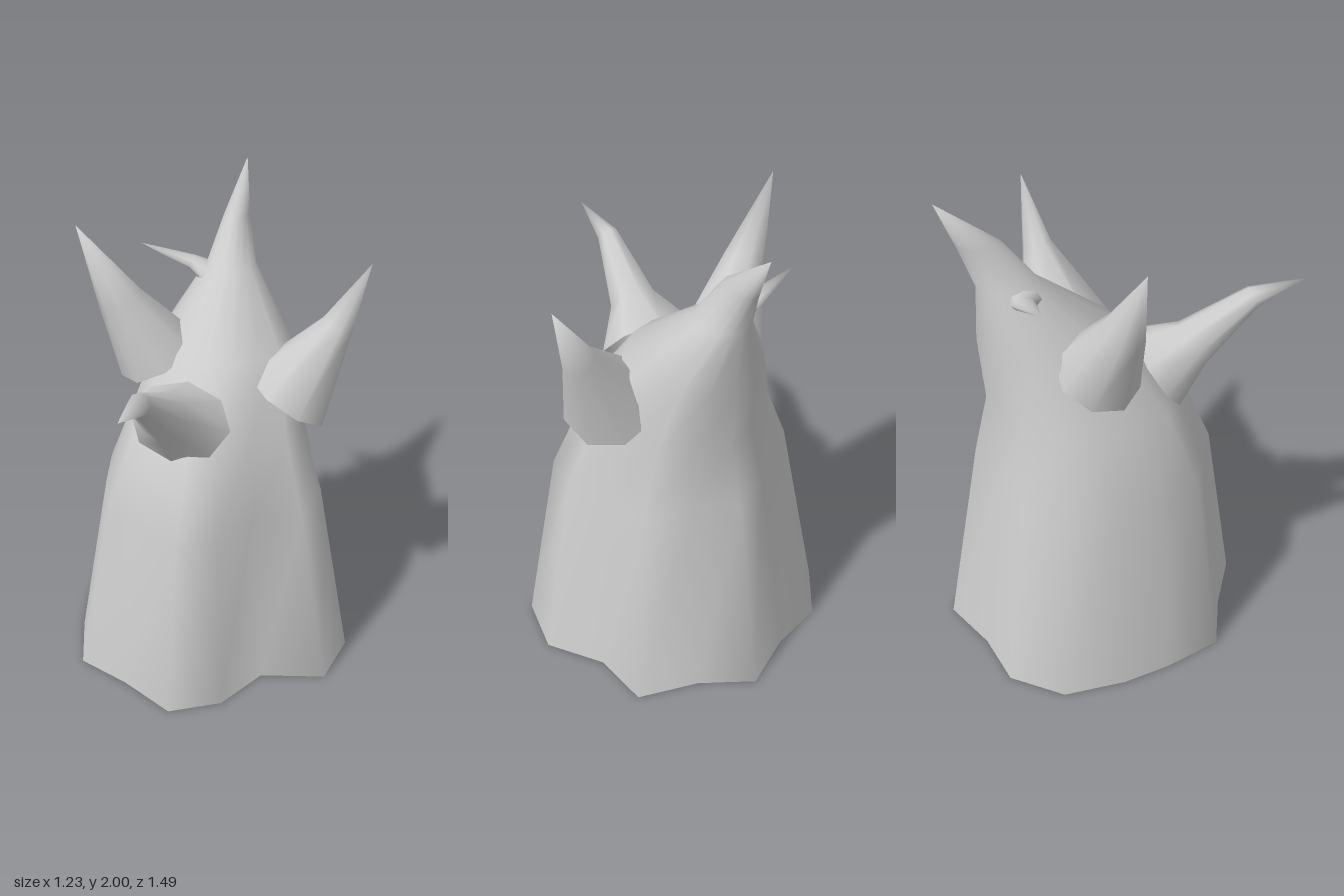
import * as THREE from 'three';

const material = new THREE.MeshStandardMaterial({ color: 0xcccccc, side: THREE.DoubleSide });

// Skin a stack of equal-length rings (arrays of Vector3) and close it at a tip.
function loft(name, rings, tip) {
  const n = rings[0].length;
  const pos = [...rings.flat(), tip].flatMap((p) => [p.x, p.y, p.z]);
  const index = [];
  rings.forEach((ring, r) => {
    for (let i = 0; i < n; i++) {
      const a = r * n + i, b = r * n + (i + 1) % n;
      if (r === rings.length - 1) index.push(a, rings.length * n, b);
      else index.push(a, a + n, b, b, a + n, b + n);
    }
  });
  const geo = new THREE.BufferGeometry();
  geo.setAttribute('position', new THREE.Float32BufferAttribute(pos, 3));
  geo.setIndex(index);
  geo.computeVertexNormals();
  const mesh = new THREE.Mesh(geo, material);
  mesh.name = name;
  return mesh;
}

// Hem outline seen from above (x, z), with the deep fold on the front left.
const hem = [
  [-0.03, -0.75], [0.18, -0.63], [0.43, -0.56], [0.46, -0.32],
  [0.61, -0.11], [0.565, 0.13], [0.30, 0.20], [0.18, 0.41],
  [-0.02, 0.52], [-0.25, 0.41], [-0.475, 0.335], [-0.56, 0.10],
  [-0.605, -0.10], [-0.615, -0.36], [-0.475, -0.565], [-0.25, -0.63],
];

// One body ring: the hem scaled to half sizes hx, hz and blended towards an ellipse.
function bodyRing({ y, x = 0, z, hx, hz, round, tilt = 0 }) {
  return hem.map(([px, pz], i) => {
    const a = (i / hem.length) * Math.PI * 2;
    const u = THREE.MathUtils.lerp(px / 0.61, Math.sin(a), round);
    const v = THREE.MathUtils.lerp((pz + 0.115) / 0.635, -Math.cos(a), round);
    return new THREE.Vector3(x + u * hx, y + v * tilt, z + v * hz);
  });
}

// Curved spike: each section is [x, y, z, radius across, radius upwards].
function spike(name, sections, tip, sides = 8) {
  const end = new THREE.Vector3(...tip);
  const centres = sections.map((s) => new THREE.Vector3(s[0], s[1], s[2]));
  const rings = sections.map(([, , , across, up], r) => {
    const next = centres[r + 1] ?? end;
    const d = next.clone().sub(centres[Math.max(r - 1, 0)]).normalize();
    const v = new THREE.Vector3(0, 1, 0).cross(d).normalize();
    const u = d.clone().cross(v);
    return Array.from({ length: sides }, (_, i) => {
      const a = (i / sides) * Math.PI * 2;
      return centres[r].clone()
        .addScaledVector(u, Math.cos(a) * up)
        .addScaledVector(v, Math.sin(a) * across);
    });
  });
  return loft(name, rings, end);
}

export function createModel() {
  const group = new THREE.Group();
  group.name = 'spikedCloak';

  // Hollow draped body, drawn up and back into the rear horn
  group.add(loft('body', [
    bodyRing({ y: 0, z: -0.115, hx: 0.61, hz: 0.635, round: 0 }),
    bodyRing({ y: 0.83, z: -0.095, hx: 0.46, hz: 0.495, round: 0.1, tilt: -0.05 }),
    bodyRing({ y: 1.12, z: -0.135, hx: 0.355, hz: 0.395, round: 0.4, tilt: -0.01 }),
    bodyRing({ y: 1.4, z: -0.27, hx: 0.27, hz: 0.28, round: 0.8 }),
    bodyRing({ y: 1.645, x: -0.025, z: -0.42, hx: 0.1, hz: 0.12, round: 1 }),
    bodyRing({ y: 1.82, x: -0.03, z: -0.515, hx: 0.05, hz: 0.085, round: 1 }),
  ], new THREE.Vector3(-0.03, 2, -0.67)));

  // Spikes sunk into the top of the body
  group.add(
    spike('frontSpike', [
      [-0.07, 1.21, 0.15, 0.21, 0.16],
      [-0.08, 1.31, 0.29, 0.1, 0.1],
      [-0.1, 1.5, 0.52, 0.045, 0.045],
    ], [-0.1, 1.555, 0.74]),
    spike('rightSpike', [
      [-0.25, 1.34, -0.13, 0.17, 0.175],
      [-0.38, 1.6, -0.06, 0.08, 0.09],
    ], [-0.53, 1.91, -0.015]),
    spike('leftSpike', [
      [0.29, 1.22, -0.15, 0.2, 0.19],
      [0.46, 1.52, -0.23, 0.06, 0.07],
    ], [0.575, 1.785, -0.265]),
    spike('smallRearSpike', [
      [-0.09, 1.605, -0.37, 0.07, 0.045],
      [-0.18, 1.64, -0.385, 0.045, 0.025],
    ], [-0.39, 1.71, -0.355]),
  );
  return group;
}
